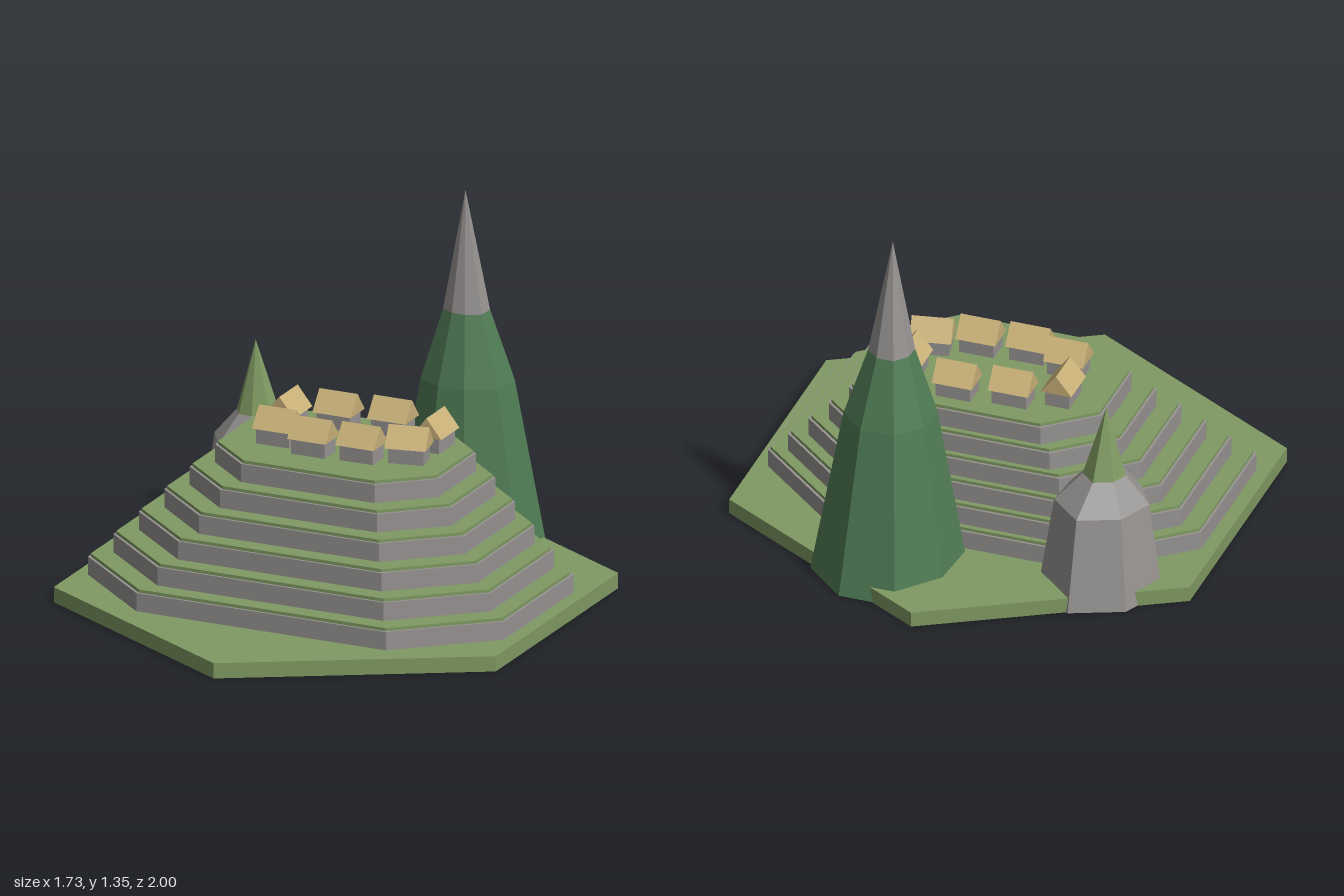
import * as THREE from 'three';

function mat(name, color) {
  const m = new THREE.MeshStandardMaterial({ color, flatShading: true });
  m.name = name;
  return m;
}

// Octagonal slab with long straight sides, from y0 to y1
function octagonSlab(hx, hz, y0, y1) {
  const pts = [[0.6, 1], [-0.6, 1], [-1, 0.5], [-1, -0.5], [-0.6, -1], [0.6, -1], [1, -0.5], [1, 0.5]]
    .map(([x, z]) => new THREE.Vector2(x * hx, z * hz));
  return new THREE.ExtrudeGeometry(new THREE.Shape(pts), { depth: y1 - y0, bevelEnabled: false })
    .rotateX(-Math.PI / 2)
    .translate(0, y0, 0);
}

// Faceted surface through scaled copies of one outline; rings are [scale, y]
function loft(outline, rings) {
  const pos = [];
  const point = (i, [s, y]) => {
    const [x, z] = outline[i % outline.length];
    return [x * s, y, z * s];
  };
  for (let r = 0; r < rings.length - 1; r++) {
    const lo = rings[r], hi = rings[r + 1];
    for (let i = 0; i < outline.length; i++) {
      if (lo[0] > 0) pos.push(...point(i, lo), ...point(i, hi), ...point(i + 1, lo));
      if (hi[0] > 0) pos.push(...point(i, hi), ...point(i + 1, hi), ...point(i + 1, lo));
    }
  }
  const g = new THREE.BufferGeometry();
  g.setAttribute('position', new THREE.Float32BufferAttribute(pos, 3));
  g.computeVertexNormals();
  return g;
}

export function createModel() {
  const model = new THREE.Group();
  model.name = 'terracedHillVillage';
  const grass = mat('grass', 0x7f9a62);
  const stone = mat('stone', 0x969391);
  const forest = mat('forest', 0x507c55);
  const thatch = mat('thatch', 0xc8b078);

  const add = (parent, name, geometry, material) => {
    const m = new THREE.Mesh(geometry, material);
    m.name = name;
    parent.add(m);
    return m;
  };

  // Hexagonal ground
  add(model, 'ground', new THREE.CylinderGeometry(1, 1, 0.057, 6).translate(0, 0.0285, 0), grass);

  // Six terraces, each a stone wall with a slightly inset grass top
  for (let i = 0; i < 6; i++) {
    const terrace = new THREE.Group();
    terrace.name = 'terrace' + (i + 1);
    const hx = 0.815 - i * 0.0756, hz = 0.568 - i * 0.052;
    const y = 0.057 + i * 0.0797;
    add(terrace, 'terraceWall', octagonSlab(hx, hz, y - 0.02, y + 0.068), stone);
    add(terrace, 'terraceGrass', octagonSlab(hx - 0.009, hz - 0.009, y + 0.06, y + 0.0797), grass);
    terrace.position.z = 0.043 - i * 0.0241;
    model.add(terrace);
  }

  // Peaks: lower slopes and a differently coloured tip
  const addPeak = (name, x, z, outline, slopes, tip, slopeMat, tipMat) => {
    const peak = new THREE.Group();
    peak.name = name;
    add(peak, 'slopes', loft(outline, slopes), slopeMat);
    add(peak, 'tip', loft(outline, [slopes[slopes.length - 1], [0, tip]]), tipMat);
    peak.position.set(x, 0, z);
    model.add(peak);
  };
  addPeak('tallPeak', 0.2, -0.64,
    [[-0.23, -0.1], [-0.1, -0.255], [0.11, -0.255], [0.27, -0.11],
      [0.26, 0.1], [0.085, 0.195], [-0.085, 0.195], [-0.245, 0.1]],
    [[0, 0.002], [1, 0.002], [0.6, 0.64], [0.3, 0.9]], 1.347, forest, stone);
  addPeak('smallPeak', -0.545, -0.48,
    [[-0.21, 0], [-0.135, -0.17], [0.055, -0.25], [0.217, -0.105],
      [0.2, 0.085], [0.035, 0.165], [-0.12, 0.145]],
    [[0, 0.002], [1, 0.002], [0.77, 0.355], [0.35, 0.457]], 0.725, stone, grass);

  // Houses: stone box under a gabled thatch roof; [x, z, turn]
  const gable = new THREE.Shape([
    new THREE.Vector2(-0.058, 0), new THREE.Vector2(0.058, 0), new THREE.Vector2(0, 0.073)]);
  const roof = new THREE.ExtrudeGeometry(gable, { depth: 0.15, bevelEnabled: false })
    .translate(0, 0, -0.075).rotateY(Math.PI / 2).translate(0, 0.059, 0);
  const walls = new THREE.BoxGeometry(0.13, 0.065, 0.09).translate(0, 0.0275, 0);
  const quarter = Math.PI / 2;
  const houses = [
    [-0.114, -0.258, 0], [0.09, -0.278, 0], [-0.275, -0.185, quarter], [0.294, -0.2, quarter],
    [-0.23, -0.007, 0], [-0.07, 0.04, 0], [0.113, 0.028, 0], [0.273, -0.028, 0.19]];
  for (const [x, z, turn] of houses) {
    const house = new THREE.Group();
    house.name = 'house';
    add(house, 'houseWalls', walls, stone);
    add(house, 'houseRoof', roof, thatch);
    house.position.set(x, 0.534, z);
    house.rotation.y = turn;
    model.add(house);
  }
  return model;
}
